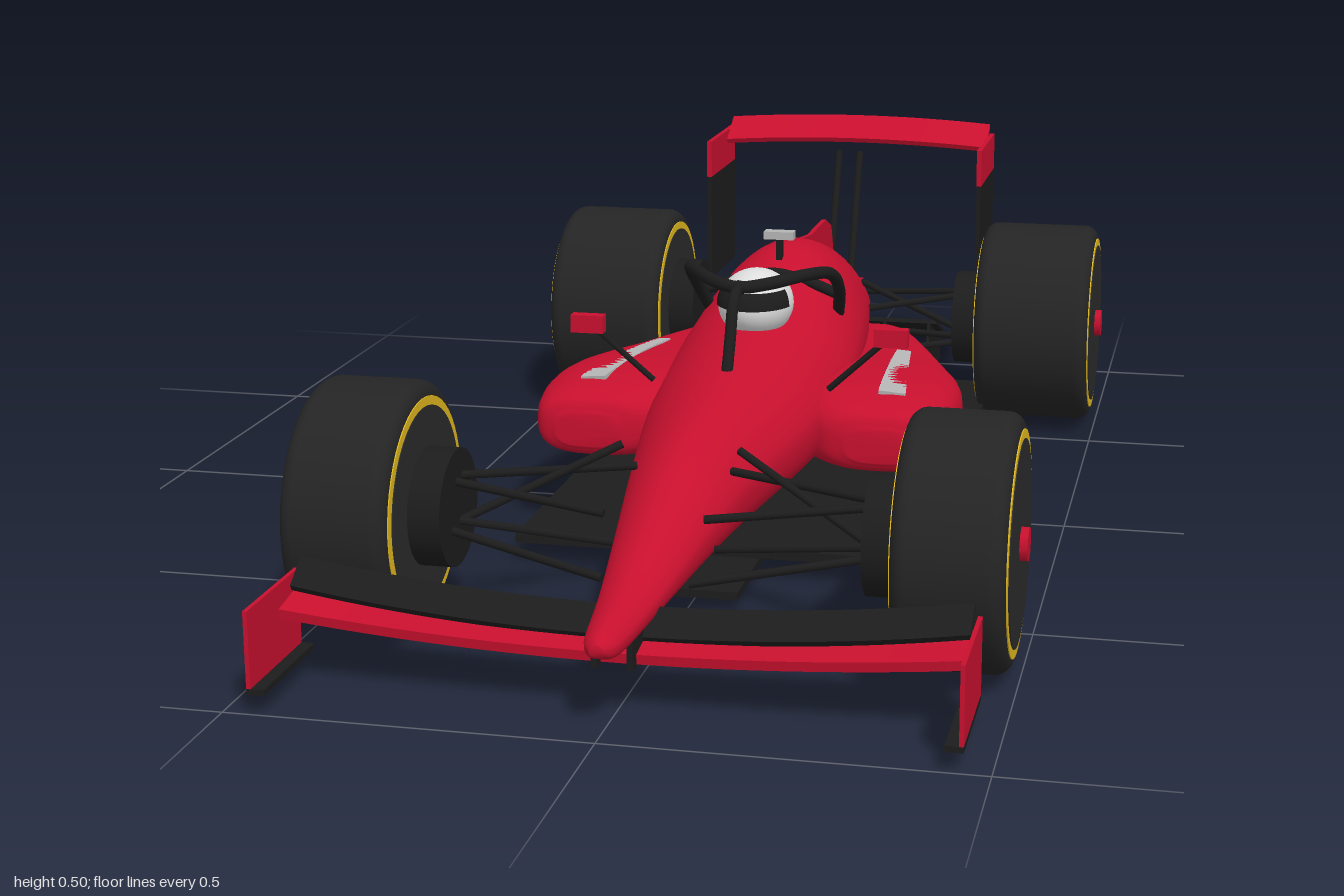
import * as THREE from 'three';

const mat = (name, color) => Object.assign(new THREE.MeshStandardMaterial({ color }), { name });

export function createModel() {
  const red = mat('red paint', 0xc8102e);
  const carbon = mat('carbon black', 0x1c1c1c);
  const rubber = mat('tyre rubber', 0x242424);
  const cover = mat('wheel cover', 0x2a2a2a);
  const gold = mat('gold', 0xe0b820);
  const silver = mat('silver', 0xb4b4b4);
  const white = mat('helmet white', 0xdedede);

  const car = new THREE.Group();
  car.name = 'racingCar';
  const V = (x, y, z) => new THREE.Vector3(x, y, z);

  const add = (name, geometry, material, x = 0, y = 0, z = 0, parent = car) => {
    const mesh = new THREE.Mesh(geometry, material);
    mesh.name = name;
    mesh.position.set(x, y, z);
    parent.add(mesh);
    return mesh;
  };
  const box = (name, m, w, h, d, x, y, z, parent) => add(name, new THREE.BoxGeometry(w, h, d), m, x, y, z, parent);

  // straight round bar between two points
  const rod = (name, m, a, b, r) => {
    const mesh = add(name, new THREE.CylinderGeometry(r, r, a.distanceTo(b), 8), m);
    mesh.position.copy(a).add(b).multiplyScalar(0.5);
    mesh.quaternion.setFromUnitVectors(V(0, 1, 0), b.clone().sub(a).normalize());
    return mesh;
  };
  const tube = (name, m, pts, r) => add(name, new THREE.TubeGeometry(new THREE.CatmullRomCurve3(pts), 48, r, 10), m);

  // smooth shell through sections [z, xMin, xMax, yMin, yMax], ordered front to back
  const loft = (sections, outline, steps = 72, around = 40) => {
    const cx = new THREE.CatmullRomCurve3(sections.map(s => V(s[0], s[1], s[2])), false, 'catmullrom', 0.5);
    const cy = new THREE.CatmullRomCurve3(sections.map(s => V(s[0], s[3], s[4])), false, 'catmullrom', 0.5);
    const pos = [], idx = [];
    for (let i = 0; i <= steps; i++) {
      const a = cx.getPoint(i / steps), b = cy.getPoint(i / steps);
      for (let j = 0; j < around; j++) {
        const [u, v] = outline(j / around * Math.PI * 2);
        pos.push((a.y + a.z) / 2 + u * (a.z - a.y) / 2, (b.y + b.z) / 2 + v * (b.z - b.y) / 2, a.x);
        if (i < steps) {
          const k = (j + 1) % around, p = i * around, q = p + around;
          idx.push(p + j, q + j, p + k, p + k, q + j, q + k);
        }
      }
    }
    const last = steps * around;
    for (let j = 1; j < around - 1; j++) idx.push(0, j, j + 1, last, last + j + 1, last + j);
    const g = new THREE.BufferGeometry();
    g.setAttribute('position', new THREE.Float32BufferAttribute(pos, 3));
    g.setIndex(idx);
    g.computeVertexNormals();
    return g;
  };
  const power = (c, e) => Math.sign(c) * Math.abs(c) ** e;

  // nose, cockpit and engine cover: squarer below, narrowing upwards
  const bodySections = [
    [0.985, 0.01, 0.108, 0.125], [0.95, 0.026, 0.097, 0.137], [0.82, 0.042, 0.1, 0.157], [0.65, 0.065, 0.105, 0.208],
    [0.48, 0.09, 0.107, 0.257], [0.2, 0.134, 0.106, 0.292], [0.02, 0.148, 0.104, 0.322], [-0.1, 0.148, 0.103, 0.355],
    [-0.25, 0.136, 0.103, 0.39], [-0.4, 0.117, 0.104, 0.366], [-0.6, 0.085, 0.106, 0.305], [-0.8, 0.054, 0.112, 0.222],
    [-0.9, 0.034, 0.12, 0.168], [-0.925, 0.012, 0.135, 0.15],
  ].map(([z, w, b, t]) => [z, -w, w, b, t]);
  add('body', loft(bodySections, t => {
    const s = Math.sin(t), c = Math.cos(t);
    return s > 0 ? [c * (1 - 0.2 * s), s] : [power(c, 0.6), power(s, 0.75)];
  }), red);

  // thin spine fin on the engine cover
  const fin = new THREE.Shape([[0.27, 0.36], [0.32, 0.38], [0.45, 0.364], [0.59, 0.364], [0.65, 0.342], [0.69, 0.25], [0.4, 0.3]]
    .map(p => new THREE.Vector2(...p)));
  add('spineFin', new THREE.ExtrudeGeometry(fin, { depth: 0.008, bevelEnabled: false }), red, -0.004, 0, 0).rotation.y = Math.PI / 2;

  // floor and plank
  box('floor', carbon, 0.61, 0.014, 1.055, 0, 0.037, -0.182);
  box('plank', carbon, 0.15, 0.012, 1.3, 0, 0.024, -0.15);

  // diffuser: sloped plate with five hanging fins
  const diffuser = new THREE.Group();
  diffuser.name = 'diffuser';
  diffuser.position.set(0, 0.095, -0.865);
  diffuser.rotation.x = -0.38;
  car.add(diffuser);
  box('diffuserPlate', carbon, 0.37, 0.008, 0.18, 0, 0.008, 0, diffuser);
  for (let i = -2; i <= 2; i++) box('diffuserFin', carbon, 0.005, 0.075, 0.18, i * 0.085, -0.03, 0, diffuser);
  box('rearLight', red, 0.025, 0.025, 0.018, 0, 0.162, -0.962);

  // helmet, visor and halo
  add('helmet', new THREE.SphereGeometry(1, 32, 24), white, 0, 0.345, 0.012).scale.set(0.06, 0.055, 0.074);
  add('visor', new THREE.SphereGeometry(1, 24, 8, Math.PI * 0.1, Math.PI * 0.8, 1.05, 0.5), carbon, 0, 0.345, 0.012)
    .scale.set(0.062, 0.057, 0.077);
  const half = s => [V(s * 0.108, 0.3, -0.135), V(s * 0.118, 0.35, -0.085), V(s * 0.115, 0.39, -0.02), V(s * 0.09, 0.402, 0.05)];
  tube('halo', carbon, [...half(-1), V(-0.04, 0.4, 0.12), V(0, 0.397, 0.14), V(0.04, 0.4, 0.12), ...half(1).reverse()], 0.01);
  tube('haloStrut', carbon, [V(0, 0.4, 0.135), V(0, 0.385, 0.18), V(0, 0.33, 0.205), V(0, 0.28, 0.23)], 0.009);
  tube('haloRearBar', carbon, [V(-0.108, 0.335, -0.12), V(-0.06, 0.35, -0.13), V(0, 0.362, -0.132), V(0.06, 0.35, -0.13), V(0.108, 0.335, -0.12)], 0.009);

  // roll-hoop camera
  box('cameraStalk', carbon, 0.01, 0.045, 0.015, 0, 0.39, -0.18);
  box('camera', silver, 0.05, 0.013, 0.022, 0, 0.417, -0.18);

  // bowed wing element: box bent along its span
  const wing = (name, m, span, thick, chord, y, z, tilt, bow) => {
    const g = new THREE.BoxGeometry(span, thick, chord, 32, 1, 1).rotateX(tilt);
    const p = g.attributes.position;
    for (let i = 0; i < p.count; i++) p.setY(i, p.getY(i) + bow * (p.getX(i) * 2 / span) ** 2);
    g.computeVertexNormals();
    return add(name, g, m, 0, y, z);
  };
  wing('frontWingMain', red, 0.92, 0.014, 0.08, 0.08, 0.857, 0.15, 0.026);
  wing('frontWingFlap', carbon, 0.91, 0.01, 0.05, 0.103, 0.842, 0.6, 0.036);
  wing('rearWing', red, 0.51, 0.01, 0.074, 0.474, -0.961, 0.5, -0.01);

  // sidepod shape, for the left side
  const podSections = [
    [0.2, 0.18, 0.28, 0.145, 0.195], [0.18, 0.13, 0.315, 0.127, 0.224], [0.1, 0.06, 0.331, 0.12, 0.24],
    [0, 0.04, 0.333, 0.114, 0.24], [-0.1, 0.03, 0.318, 0.106, 0.232], [-0.2, 0.03, 0.288, 0.102, 0.222],
    [-0.35, 0.03, 0.235, 0.104, 0.212], [-0.48, 0.04, 0.185, 0.11, 0.2], [-0.55, 0.06, 0.14, 0.13, 0.18],
  ];
  const podOutline = t => [power(Math.cos(t), 0.7), power(Math.sin(t), 0.7)];

  for (const s of [1, -1]) {
    const side = s > 0 ? 'left' : 'right';
    const P = (x, y, z) => V(s * x, y, z);
    const sections = podSections.map(([z, a, b, c, d]) => s > 0 ? [z, a, b, c, d] : [z, -b, -a, c, d]);
    add(side + 'Sidepod', loft(sections, podOutline, 48, 32), red);

    // row of louvres on the sidepod
    for (let i = 0; i < 20; i++) {
      const k = i / 19;
      const slat = box(side + 'Louvre', silver, 0.042 - 0.018 * k, 0.006, 0.017, s * (0.238 - 0.03 * k), 0.238 - 0.019 * k * k, 0.12 - 0.32 * k);
      slat.rotation.set(0.1, s * 0.1, s * -0.12);
    }

    // mirror
    rod(side + 'MirrorStalk', carbon, P(0.14, 0.24, 0.13), P(0.23, 0.325, 0.148), 0.005);
    box(side + 'Mirror', red, 0.052, 0.028, 0.02, s * 0.24, 0.331, 0.148);

    // front wing endplate, foot and nose pylon
    box(side + 'FrontEndplate', red, 0.006, 0.106, 0.175, s * 0.462, 0.087, 0.9125);
    box(side + 'EndplateFoot', carbon, 0.024, 0.008, 0.175, s * 0.453, 0.03, 0.9125);
    box(side + 'NosePylon', carbon, 0.008, 0.05, 0.07, s * 0.024, 0.09, 0.88);

    // rear wing endplate and support
    box(side + 'RearEndplateTop', red, 0.009, 0.068, 0.21, s * 0.259, 0.433, -0.895);
    box(side + 'RearEndplateBottom', carbon, 0.008, 0.2, 0.21, s * 0.259, 0.3, -0.895);
    rod(side + 'WingSupport', carbon, P(0.02, 0.2, -0.765), P(0.02, 0.445, -0.865), 0.007);

    // wheels with gold rim rings, covers, nuts and brake ducts
    for (const [end, z, inner] of [['Front', 0.647, 0.34], ['Rear', -0.65, 0.29]]) {
      const wheel = new THREE.Group();
      const w = 0.491 - inner, h = w / 2, R = 0.176, r = 0.022;
      wheel.name = side + end + 'Wheel';
      wheel.position.set(s * (inner + h), 0.181, z);
      wheel.rotation.z = -s * Math.PI / 2;
      car.add(wheel);
      const profile = [[0.02, -h], [R - r - 0.003, -h]];
      for (let i = 0; i <= 6; i++) {
        const a = i / 6 * Math.PI / 2;
        profile.push([R - r + r * Math.sin(a), -h + r - r * Math.cos(a)]);
      }
      const points = [...profile, ...profile.map(([x, y]) => [x, -y]).reverse()].map(p => new THREE.Vector2(...p));
      add('tyre', new THREE.LatheGeometry(points, 56), rubber, 0, 0, 0, wheel);
      add('rimRing', new THREE.CylinderGeometry(0.154, 0.154, w + 0.003, 48), gold, 0, 0, 0, wheel);
      add('wheelCover', new THREE.CylinderGeometry(0.141, 0.141, w + 0.006, 48), cover, 0, 0, 0, wheel);
      add('wheelNut', new THREE.CylinderGeometry(0.024, 0.024, 0.016, 8), red, 0, h + 0.006, 0, wheel);
      add('brakeDuct', new THREE.CylinderGeometry(0.084, 0.084, 0.05, 32), carbon, 0, -h - 0.024, 0, wheel);
    }

    // suspension arms, inner point to hub point
    const arms = [
      [0.07, 0.215, 0.51, 0.3, 0.222, 0.63], [0.07, 0.2, 0.69, 0.3, 0.22, 0.65],
      [0.07, 0.135, 0.62, 0.3, 0.16, 0.64], [0.06, 0.125, 0.74, 0.3, 0.155, 0.67],
      [0.085, 0.252, 0.53, 0.3, 0.155, 0.64],
      [0.08, 0.22, -0.5, 0.26, 0.23, -0.62], [0.06, 0.2, -0.74, 0.26, 0.225, -0.67],
      [0.08, 0.14, -0.5, 0.26, 0.14, -0.63], [0.05, 0.13, -0.74, 0.26, 0.14, -0.66],
      [0.07, 0.25, -0.6, 0.26, 0.15, -0.65],
    ];
    for (const [a, b, c, d, e, f] of arms) rod(side + 'SuspensionArm', carbon, P(a, b, c), P(d, e, f), 0.006);
  }
  return car;
}
